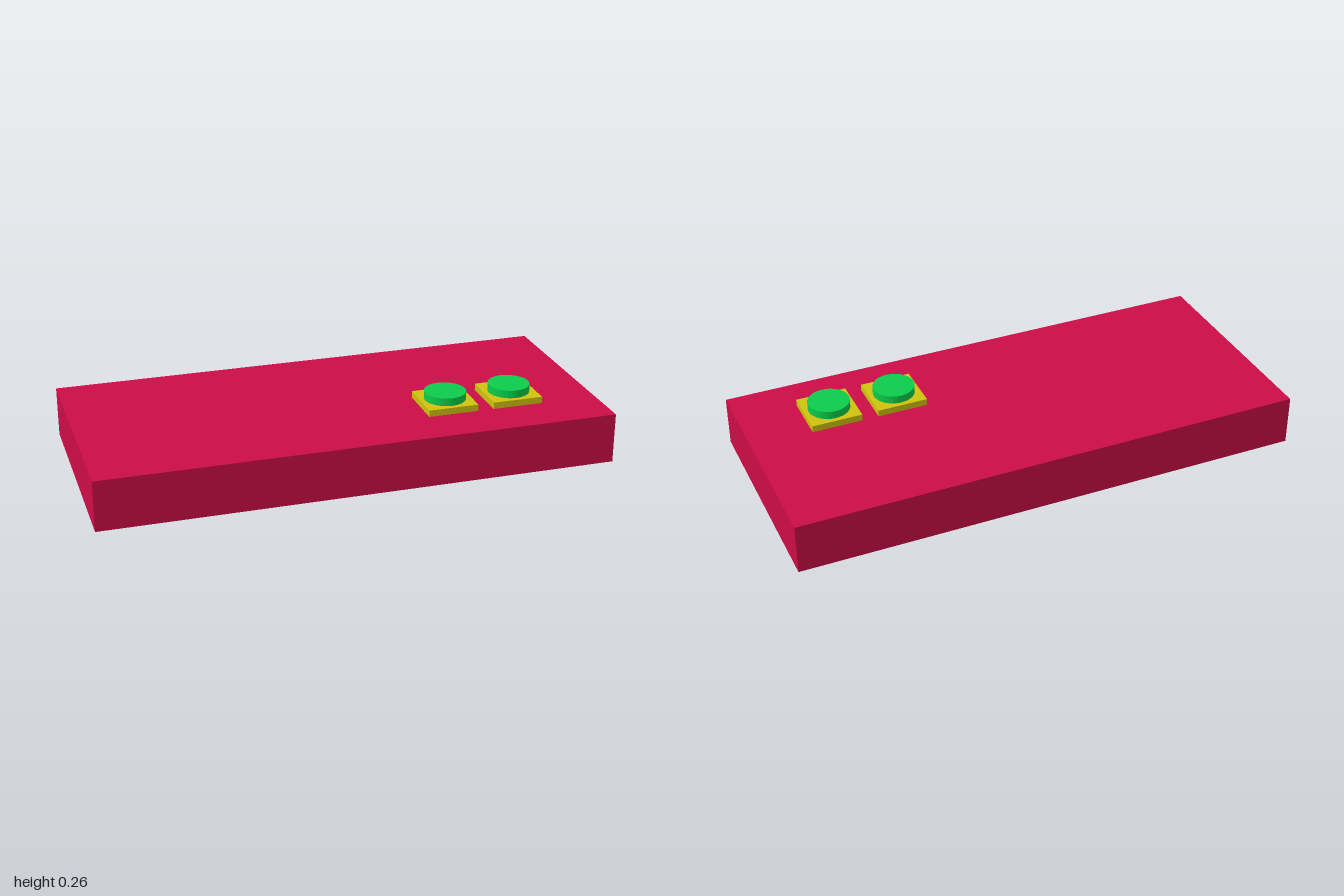
import * as THREE from 'three';

export function createModel() {
  const model = new THREE.Group();
  model.name = 'buttonPanel';

  const red = new THREE.MeshStandardMaterial({ color: 0xcc0d46 });
  red.name = 'crimson';
  const yellow = new THREE.MeshStandardMaterial({ color: 0xd0c20e });
  yellow.name = 'yellow';
  const green = new THREE.MeshStandardMaterial({ color: 0x0dcc4a });
  green.name = 'green';

  function add(parent, name, geometry, material, x, y, z) {
    const mesh = new THREE.Mesh(geometry, material);
    mesh.name = name;
    mesh.position.set(x, y, z);
    parent.add(mesh);
  }

  // Slab body
  add(model, 'body', new THREE.BoxGeometry(2, 0.197, 0.876), red, 0, 0.0985, 0);

  // Two push buttons, each a round cap on a square plate just above the slab
  const plate = new THREE.BoxGeometry(0.198, 0.026, 0.198);
  const cap = new THREE.CylinderGeometry(0.081, 0.081, 0.031, 32).toNonIndexed();
  cap.computeVertexNormals(); // faceted sides
  [['rightButton', 0.404], ['leftButton', 0.666]].forEach(([name, x]) => {
    const button = new THREE.Group();
    button.name = name;
    button.position.set(x, 0.207, 0.1765);
    add(button, 'plate', plate, yellow, 0, 0.013, 0);
    add(button, 'cap', cap, green, 0, 0.0415, 0);
    model.add(button);
  });

  return model;
}
